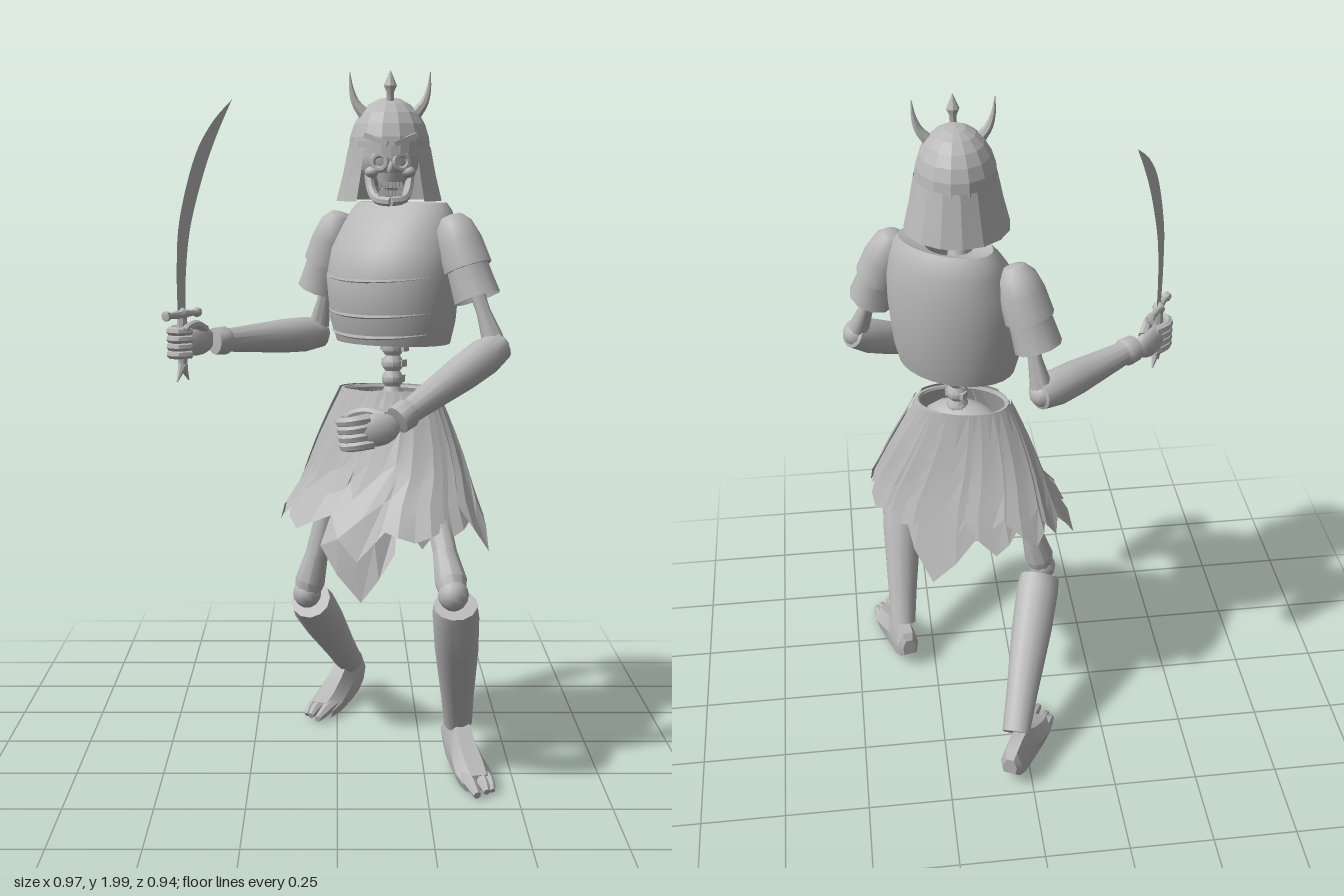
import * as THREE from 'three';
import { toCreasedNormals } from 'three/addons/utils/BufferGeometryUtils.js';

const V = (x, y, z) => new THREE.Vector3(x, y, z);
const UP = V(0, 1, 0);

export function createModel() {
  const model = new THREE.Group();
  model.name = 'skeletonWarrior';
  const grey = new THREE.MeshStandardMaterial({ color: 0xb8b8b8, side: THREE.DoubleSide });
  grey.name = 'grey';

  const add = (name, geo, parent = model, crease = 0.7) => {
    const mesh = new THREE.Mesh(toCreasedNormals(geo, crease), grey);
    mesh.name = name;
    parent.add(mesh);
    return mesh;
  };
  const group = (name, parent = model) => {
    const g = new THREE.Group();
    g.name = name;
    parent.add(g);
    return g;
  };

  // Surface through rings of equal point count
  const loft = (rings, wrap = true, caps = false) => {
    const n = rings[0].length, pos = rings.flat().flatMap(p => [p.x, p.y, p.z]), idx = [];
    for (let i = 0; i < rings.length - 1; i++)
      for (let j = 0; j < (wrap ? n : n - 1); j++) {
        const k = (j + 1) % n, a = i * n + j, b = i * n + k;
        idx.push(a, b, b + n, a, b + n, a + n);
      }
    if (caps) [[0, -1], [rings.length - 1, 1]].forEach(([r, s]) => {
      for (let j = 1; j < n - 1; j++) {
        const o = r * n;
        s > 0 ? idx.push(o, o + j, o + j + 1) : idx.push(o, o + j + 1, o + j);
      }
    });
    const g = new THREE.BufferGeometry();
    g.setAttribute('position', new THREE.Float32BufferAttribute(pos, 3));
    g.setIndex(idx);
    return g;
  };

  // Turned part between a and b; profile is [fraction of length, radius]
  const spun = (name, a, b, profile, sides = 12, parent = model) => {
    const dir = b.clone().sub(a), len = dir.length();
    const geo = new THREE.LatheGeometry(profile.map(([t, r]) => new THREE.Vector2(r, t * len)), sides);
    const m = add(name, geo, parent);
    m.position.copy(a);
    m.quaternion.setFromUnitVectors(UP, dir.normalize());
    return m;
  };

  // Curved tapering tube
  const horn = (name, pts, radius, parent = model, steps = 8, sides = 7) => {
    const c = new THREE.CatmullRomCurve3(pts), f = c.computeFrenetFrames(steps);
    const rings = [];
    for (let i = 0; i <= steps; i++) {
      const p = c.getPoint(i / steps), r = radius(i / steps), ring = [];
      for (let j = 0; j < sides; j++) {
        const a = (j / sides) * Math.PI * 2;
        ring.push(p.clone().addScaledVector(f.normals[i], r * Math.cos(a)).addScaledVector(f.binormals[i], r * Math.sin(a)));
      }
      rings.push(ring);
    }
    return add(name, loft(rings, true, true), parent);
  };
  const ball = (name, p, s, parent = model) => {
    const m = add(name, new THREE.SphereGeometry(1, 12, 8), parent);
    m.position.copy(p);
    m.scale.set(...s);
    return m;
  };
  const ellipse = (y, a, b, zo, from = 0, to = Math.PI * 2, n = 28, closed = true) =>
    Array.from({ length: n }, (_, j) => {
      const t = from + (to - from) * j / (closed ? n : n - 1);
      return V(a * Math.sin(t), y, zo + b * Math.cos(t));
    });

  // Breastplate, turned towards its right
  const torso = group('torso');
  torso.position.set(0.16, 0, 0.033);
  torso.rotation.y = -0.66;
  const shell = [[1.235, 0.178, 0.132, 0], [1.3, 0.194, 0.152, 0.004], [1.42, 0.204, 0.164, 0.004], [1.5, 0.199, 0.15, -0.008],
    [1.57, 0.178, 0.122, -0.028], [1.61, 0.163, 0.098, -0.038], [1.632, 0.145, 0.08, -0.042], [1.612, 0.07, 0.055, -0.025]];
  add('breastplate', loft(shell.map(s => ellipse(...s))), torso, 0.8);
  [[1.43, 0.203, 0.166], [1.33, 0.197, 0.158], [1.27, 0.188, 0.147]].forEach(([y, a, b]) =>
    horn('plateEdge', ellipse(y, a, b, 0, -1.1, 1.1, 9, false).map((p, i) => p.setY(y - 0.012 * Math.sin(i / 8 * Math.PI))),
      t => 0.001 + 0.005 * Math.sin(Math.PI * t), torso, 16, 5));

  // Neck, spine and pelvis
  spun('neck', V(0.15, 1.57, 0.03), V(0.145, 1.7, 0.07), [[0, 0.03], [0.3, 0.024], [0.5, 0.03], [0.8, 0.024], [1, 0.03]]);
  for (let i = 0; i < 6; i++) {
    const y = 1.06 + i * 0.045, width = 0.05 + i * 0.012;
    spun('vertebra', V(0.16, y, 0.035), V(0.16, y + 0.045, 0.035), [[0, 0.022], [0.3, 0.032], [0.6, 0.032], [1, 0.022]], 10);
    const wing = add('vertebraWing', new THREE.BoxGeometry(width, 0.02, 0.024));
    wing.position.set(0.165, y + 0.022, 0.025);
    wing.rotation.y = -0.66;
  }

  // Skirt of pointed cloth panels: [angle, half width, hem height, tip height]
  const skirt = group('skirt');
  skirt.position.set(0.147, 0, 0.032);
  // The waist lies nearly square to the front and the hem swings with the stride
  const cloth = (a, y, lift) => {
    const t = (1.1 - y) / 0.3, c = Math.cos(a);
    const kick = 0.06 * THREE.MathUtils.smoothstep(t, 0.8, 1.3);
    const depth = 0.085 + (c > 0 ? 0.1 * Math.min(t, 1.4) + kick : 0.072 * t) + lift;
    return V(Math.sin(a) * (0.136 + 0.152 * t + lift), y, c * depth)
      .applyAxisAngle(UP, -0.68 * Math.min(1, 0.4 + 0.6 * t));
  };
  [[0.28, 0.34, 0.68, 0.535], [0.8, 0.3, 0.74, 0.71], [1.2, 0.24, 0.75, 0.72], [1.55, 0.24, 0.8, 0.67],
    [1.95, 0.3, 0.8, 0.72], [2.4, 0.32, 0.77, 0.7], [3.2, 0.4, 0.74, 0.57], [2.8, 0.3, 0.76, 0.71],
    [3.8, 0.32, 0.78, 0.7], [4.3, 0.32, 0.8, 0.73], [5.08, 0.26, 0.79, 0.68], [4.7, 0.28, 0.82, 0.74],
    [5.45, 0.28, 0.78, 0.72], [5.9, 0.34, 0.76, 0.71]
  ].forEach(([a, hw, hem, tip], i) => {
    const rings = [];
    for (let r = 0; r <= 5; r++) {
      const ring = [];
      for (let c = 0; c <= 4; c++) {
        const u = c / 2 - 1, low = tip + (hem - tip) * Math.abs(u);
        ring.push(cloth(a + u * hw, low + (1.1 - low) * r / 5, (i % 2) * 0.008 + (c % 2) * 0.007 * (1 - r / 5)));
      }
      rings.push(ring);
    }
    add('skirtPanel', loft(rings, false), skirt, 0.15);
  });
  const belt = add('belt', new THREE.TorusGeometry(1, 0.06, 6, 24), skirt);
  belt.position.y = 1.09;
  belt.rotation.set(Math.PI / 2, 0, 0.27);
  belt.scale.set(0.134, 0.082, 0.15);
  const pelvis = ball('pelvis', V(0, 1.03, 0), [0.12, 0.06, 0.07], skirt);
  pelvis.rotation.y = -0.5;

  // Helmet and face
  const head = group('head');
  head.position.set(0.145, 0, 0.085);
  const dome = add('helmetDome', new THREE.SphereGeometry(1, 14, 6, 0, Math.PI * 2, 0, Math.PI / 2), head, 0.1);
  dome.position.set(0, 1.775, 0.012);
  dome.scale.set(0.114, 0.148, 0.138);
  add('neckGuard', loft([[1.638, 0.148, 0.155, 0], [1.71, 0.13, 0.145, 0.004], [1.785, 0.115, 0.138, 0.012]].map(s =>
    ellipse(...s, 0.68, Math.PI * 2 - 0.68, 13, false)), false), head, 0.1);
  add('visor', loft([[1.768, 0.113, 0.142, 0.008], [1.8, 0.115, 0.138, 0.01]].map(s =>
    ellipse(...s, -0.9, 0.9, 9, false).map((p, i) => p.setY(p.y - (i === 4 ? 0.015 : 0)))), false), head, 0.1);
  for (const s of [1, -1]) {
    horn('helmetHorn', [V(s * 0.07, 1.875, 0.035), V(s * 0.094, 1.905, 0.035), V(s * 0.107, 1.945, 0.035), V(s * 0.111, 1.99, 0.035)],
      t => 0.017 * (1 - t) + 0.001, head);
    const brow = add('browRidge', new THREE.BoxGeometry(0.07, 0.014, 0.016), head);
    brow.position.set(s * 0.04, 1.805, 0.135);
    brow.rotation.set(0, s * 0.35, s * 0.35);
    const socket = add('eyeSocket', new THREE.TorusGeometry(0.02, 0.008, 6, 12), head);
    socket.position.set(s * 0.03, 1.745, 0.122);
    socket.rotation.y = s * 0.3;
    ball('cheekbone', V(s * 0.05, 1.718, 0.1), [0.02, 0.016, 0.035], head);
    horn('jaw', [V(s * 0.058, 1.71, 0.05), V(s * 0.05, 1.665, 0.07), V(s * 0.032, 1.642, 0.11), V(0, 1.638, 0.13)], () => 0.013, head);
  }
  spun('helmetSpike', V(0.145, 1.9, 0.14), V(0.145, 1.995, 0.145), [[0, 0.01], [0.35, 0.01], [0.55, 0.018], [1, 0]], 8);
  ball('cranium', V(0, 1.76, 0.02), [0.085, 0.09, 0.1], head);
  ball('noseBone', V(0, 1.728, 0.122), [0.01, 0.02, 0.018], head);
  const upperJaw = add('upperJaw', new THREE.CylinderGeometry(0.04, 0.032, 0.03, 12), head);
  upperJaw.position.set(0, 1.7, 0.1);
  for (let i = -3; i <= 3; i++) for (const y of [1.683, 1.66]) {
    const tooth = add('tooth', new THREE.BoxGeometry(0.008, 0.016, 0.006), head);
    tooth.position.set(i * 0.0095, y, 0.137 - i * i * 0.002);
  }

  // Arms
  const hand = (name, origin, along, palm, thumbSide) => {
    const g = group(name), d = along.normalize();
    const n = palm.addScaledVector(d, -palm.dot(d)).normalize();
    g.matrix.makeBasis(d, n.clone().cross(d), n);
    g.matrix.decompose(g.position, g.quaternion, g.scale);
    g.position.copy(origin);
    ball('palm', V(0.035, 0, 0.005), [0.062, 0.045, 0.026], g);
    for (let i = 0; i < 4; i++) {
      const y = (i - 1.5) * 0.022;
      horn('finger', [V(0.05, y, 0), V(0.1, y, -0.005), V(0.13, y, 0.02), V(0.12, y, 0.052), V(0.085, y, 0.056)], t => 0.0155 - 0.004 * t, g);
    }
    const y = thumbSide;
    horn('thumb', [V(0.01, 0.03 * y, 0.01), V(0.05, 0.048 * y, 0.03), V(0.09, 0.045 * y, 0.05), V(0.11, 0.035 * y, 0.062)], t => 0.015 - 0.005 * t, g);
  };
  const arm = (side, shoulder, cuff, elbow, wrist) => {
    const g = group(side + 'Arm');
    spun('shoulderGuard', shoulder, cuff, [[-0.16, 0], [-0.13, 0.03], [0, 0.052], [0.25, 0.065], [0.6, 0.07], [0.6, 0.056]], 12, g);
    spun('sleeve', shoulder, cuff, [[0.5, 0.06], [0.75, 0.063], [1.02, 0.068]], 10, g);
    spun('upperArmBone', shoulder, elbow, [[0, 0.035], [0.2, 0.024], [0.7, 0.02], [0.9, 0.03], [1, 0.03]], 10, g);
    ball('elbow', elbow, [0.038, 0.038, 0.038], g);
    spun('forearmGuard', elbow, wrist, [[-0.06, 0.02], [-0.04, 0.042], [0.12, 0.052], [0.35, 0.05], [0.87, 0.034], [0.9, 0.041], [1, 0.039], [1.01, 0]], 14, g);
  };
  arm('right', V(0.003, 1.57, -0.1), V(-0.05, 1.375, -0.147), V(-0.06, 1.235, -0.175), V(-0.355, 1.235, 0.035));
  arm('left', V(0.325, 1.57, 0.14), V(0.387, 1.375, 0.187), V(0.44, 1.235, 0.215), V(0.16, 1.065, 0.41));
  hand('rightHand', V(-0.381, 1.24, 0.027), V(-0.77, 0, 0.6), V(0.6, 0, 0.77), -1);
  hand('leftHand', V(0.14, 1.05, 0.44), V(-0.96, -0.15, 0.05), V(0, 0, -1), 1);

  // Curved sword with a paper-thin blade
  const sword = group('sword');
  sword.position.set(-0.44, 1.315, 0.11);
  sword.rotation.y = Math.PI / 3;
  const blade = new THREE.Shape();
  blade.moveTo(-0.02, 0);
  blade.splineThru([[-0.022, 0.13], [-0.005, 0.27], [0.07, 0.44], [0.16, 0.54], [0.265, 0.61]].map(p => new THREE.Vector2(...p)));
  blade.splineThru([[0.18, 0.5], [0.112, 0.39], [0.048, 0.25], [0.022, 0.12], [0.018, 0]].map(p => new THREE.Vector2(...p)));
  add('blade', new THREE.ShapeGeometry(blade, 5), sword);
  spun('crossguard', V(-0.085, 0.005, 0), V(0.085, 0.005, 0),
    [[0, 0], [0.03, 0.014], [0.1, 0.014], [0.15, 0.008], [0.42, 0.012], [0.5, 0.02], [0.58, 0.012], [0.85, 0.008], [0.9, 0.014], [0.97, 0.014], [1, 0]], 8, sword);
  spun('grip', V(0, 0, 0), V(0, -0.15, 0), [[0, 0.014], [0.5, 0.017], [1, 0.012]], 8, sword);
  for (const s of [1, -1])
    horn('pommelProng', [V(0, -0.14, 0), V(s * 0.012, -0.16, 0), V(s * 0.028, -0.185, 0)], t => 0.013 * (1 - t) + 0.002, sword);

  // Legs
  const leg = (side, hip, knee, greaveTop, ankle, heel, yaw) => {
    const g = group(side + 'Leg');
    spun('thighBone', hip, knee, [[0, 0.04], [0.15, 0.042], [0.45, 0.034], [0.75, 0.034], [0.92, 0.045], [1, 0.036]], 9, g);
    ball('knee', knee, [0.042, 0.044, 0.042], g);
    spun('greave', greaveTop, ankle, [[0, 0], [0, 0.06], [0.08, 0.065], [0.35, 0.062], [0.75, 0.048], [1, 0.042], [1, 0]], 12, g);
    const foot = group('foot', g);
    foot.position.copy(heel);
    foot.rotation.y = yaw;
    // Rings along the foot: [distance, half width, top, underside]
    const rings = [[0, 0.022, 0.115, 0.06], [0.015, 0.034, 0.135, 0.045], [0.06, 0.038, 0.15, 0.02], [0.11, 0.04, 0.145, 0.008],
      [0.17, 0.046, 0.1, 0.003], [0.23, 0.052, 0.068, 0], [0.28, 0.046, 0.045, 0]]
      .map(([z, w, h, b]) => [[w * 0.8, b], [w, (b + h) / 2], [w * 0.5, h], [-w * 0.5, h], [-w, (b + h) / 2], [-w * 0.8, b]].map(([x, y]) => V(x, y, z)));
    add('instep', loft(rings, true, true), foot, 0.5);
    // Big toe on the inner side, the rest as one split lobe
    const inner = side === 'left' ? -1 : 1;
    [[0.026, 0.021, 0.345], [-0.01, 0.019, 0.325], [-0.03, 0.016, 0.315]].forEach(([x, r, end]) =>
      horn('toe', [V(inner * x, 0.03, 0.24), V(inner * x, 0.026, 0.29), V(inner * x * 0.95, r * 0.7, end)], t => r * (1 - 0.5 * t * t), foot));
  };
  leg('right', V(0.03, 0.97, 0.01), V(-0.09, 0.475, 0.005), V(-0.08, 0.45, -0.015), V(0.04, 0.14, -0.375), V(0.07, 0.008, -0.47), -0.46);
  leg('left', V(0.24, 0.97, 0.06), V(0.315, 0.585, 0.415), V(0.322, 0.555, 0.405), V(0.35, 0.14, 0.18), V(0.335, 0.008, 0.1), 0.22);

  return model;
}
